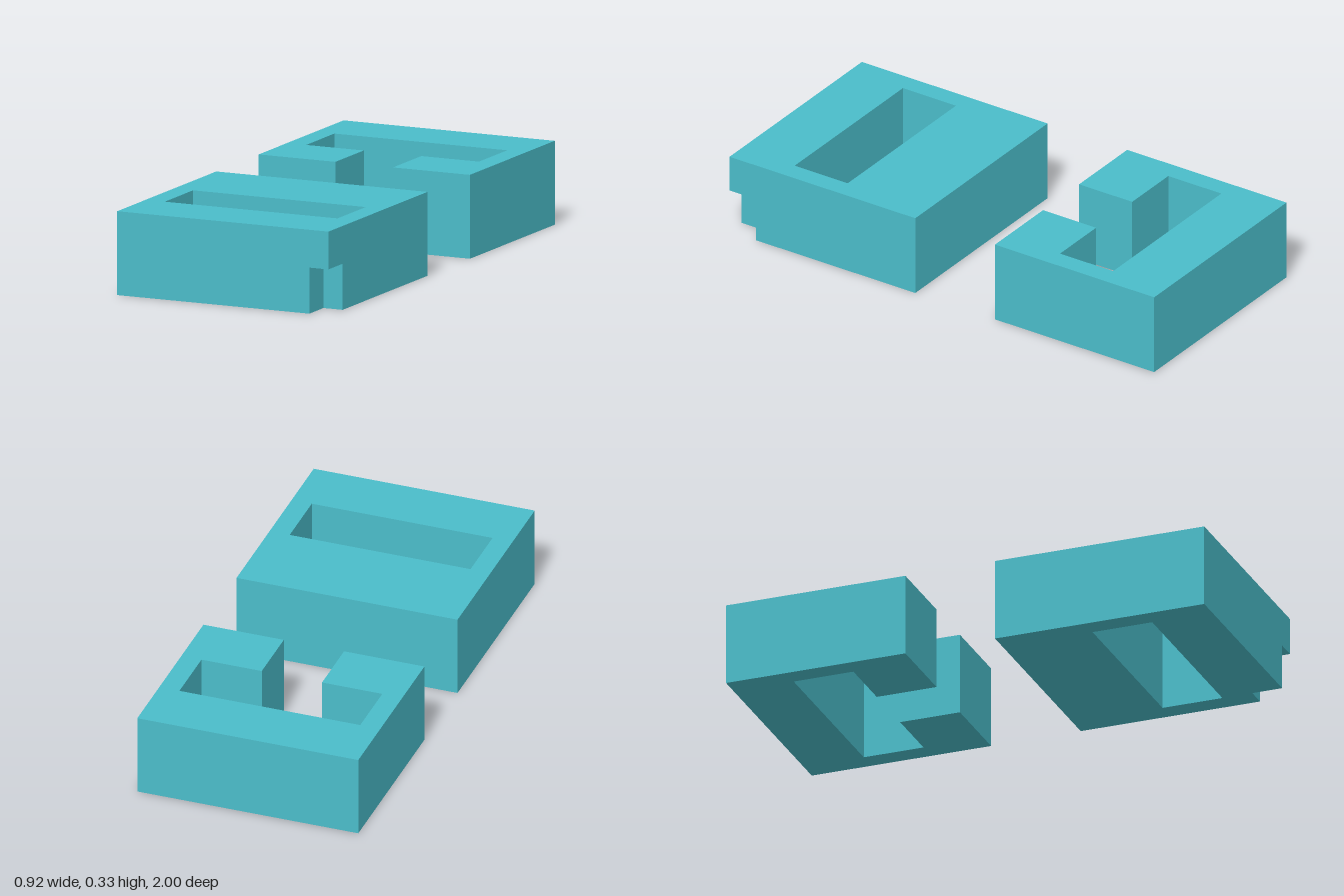
import * as THREE from 'three';
import { mergeGeometries } from 'three/addons/utils/BufferGeometryUtils.js';

const W = 0.4583, H = 0.3333; // half width and height of both blocks
const SLOT = 0.375;           // half width of the slots
const NOTCH_Y = 0.183, NOTCH_X = 0.375, NOTCH_Z = 0.875;

const toPoints = (pairs) => pairs.map(([x, z]) => new THREE.Vector2(x, z));

// Upright prism from an (x, z) outline, between two heights
function prism(outline, hole, y0, y1) {
  const shape = new THREE.Shape(toPoints(outline));
  if (hole) shape.holes.push(new THREE.Path(toPoints(hole)));
  const geo = new THREE.ExtrudeGeometry(shape, { depth: y1 - y0, bevelEnabled: false });
  return geo.rotateX(Math.PI / 2).translate(0, y1, 0);
}

// Remove the cap lying at height y, so stacked prisms join into one skin
function openAt(geo, y) {
  const pos = geo.attributes.position;
  const keep = [];
  for (let i = 0; i < pos.count; i += 3) {
    const inCap = [0, 1, 2].every((k) => Math.abs(pos.getY(i + k) - y) < 1e-4);
    if (!inCap) keep.push(i, i + 1, i + 2);
  }
  geo.setIndex(keep);
  return geo.toNonIndexed();
}

export function createModel() {
  const teal = new THREE.MeshStandardMaterial({ color: 0x4bbdca });
  teal.name = 'teal';
  const group = new THREE.Group();
  group.name = 'slottedBlocks';
  const add = (name, geo) => {
    const mesh = new THREE.Mesh(geo, teal);
    mesh.name = name;
    group.add(mesh);
  };

  // Front block: closed slot, with a notch under the left front corner
  const slot = [[-SLOT, 0.5], [SLOT, 0.5], [SLOT, 0.75], [-SLOT, 0.75]];
  const rear = [[-W, 1], [-W, 0.125], [W, 0.125], [W, NOTCH_Z]];
  const upper = prism([...rear, [W, 1], [NOTCH_X, 1]], slot, NOTCH_Y, H);
  const lower = prism([...rear, [NOTCH_X, NOTCH_Z], [NOTCH_X, 1]], slot, 0, NOTCH_Y);
  const ceiling = new THREE.PlaneGeometry(W - NOTCH_X, 1 - NOTCH_Z)
    .rotateX(Math.PI / 2)
    .translate((W + NOTCH_X) / 2, NOTCH_Y, (1 + NOTCH_Z) / 2)
    .toNonIndexed();
  add('frontBlock', mergeGeometries([openAt(upper, NOTCH_Y), openAt(lower, NOTCH_Y), ceiling]));

  // Back block: slot open towards the front through a narrower gap
  const half = [[0.125, -0.25], [0.125, -0.5], [SLOT, -0.5], [SLOT, -0.75]];
  const outer = [[W, -1], [W, -0.25]];
  const mirror = (pts) => pts.map(([x, z]) => [-x, z]).reverse();
  add('backBlock', prism([...half, ...mirror(half), ...mirror(outer), ...outer], null, 0, H));

  return group;
}
